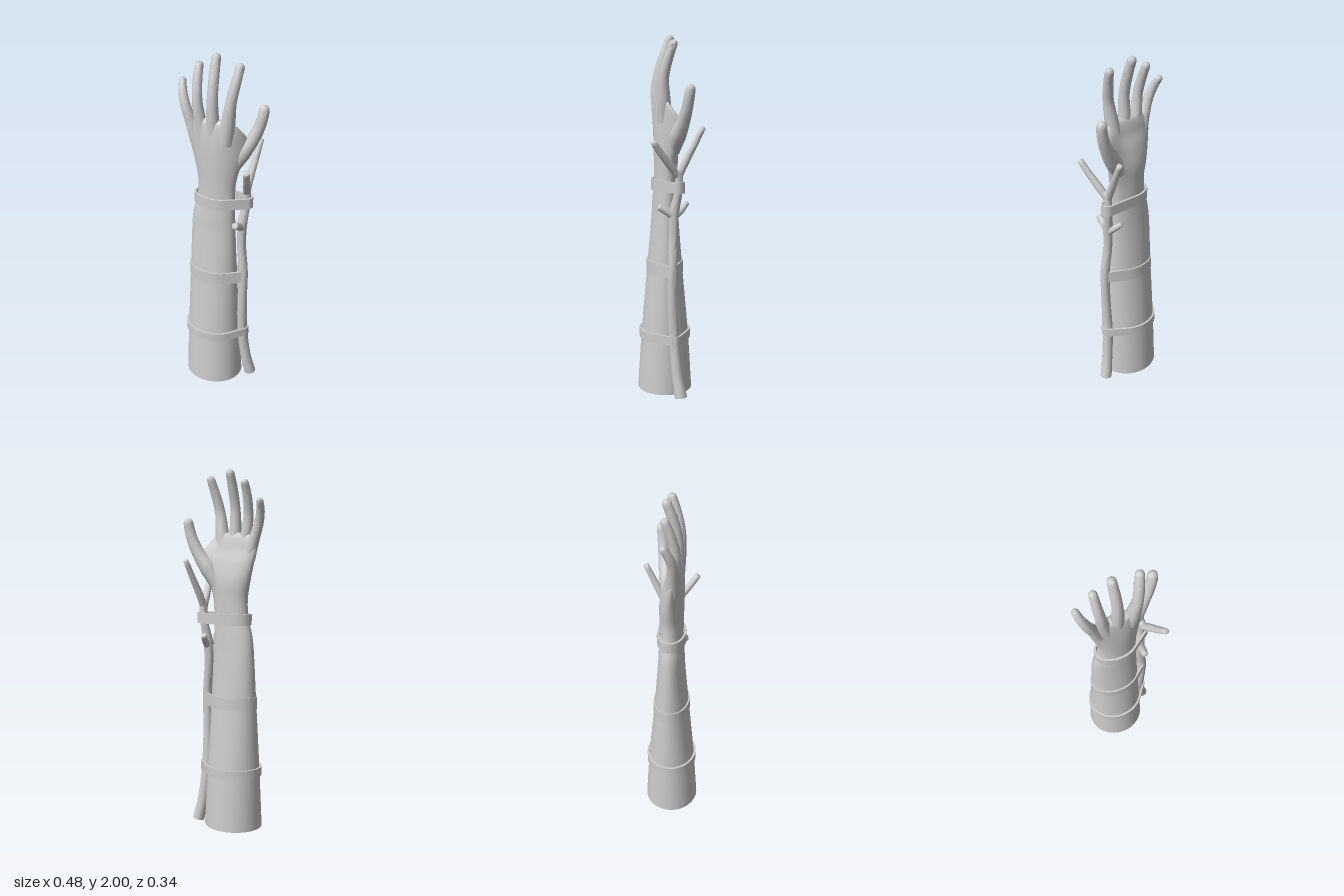
import * as THREE from 'three';
import { toCreasedNormals } from 'three/addons/utils/BufferGeometryUtils.js';

const material = new THREE.MeshStandardMaterial({ color: 0xcccccc, side: THREE.DoubleSide });
const { lerp, clamp } = THREE.MathUtils;

// Skin a list of closed rings (arrays of Vector3 with equal length).
function skin(rings) {
  const n = rings[0].length, index = [];
  for (let i = 0; i < rings.length - 1; i++) {
    for (let j = 0; j < n; j++) {
      const a = i * n + j, b = i * n + (j + 1) % n;
      index.push(a, a + n, b, b, a + n, b + n);
    }
  }
  const geo = new THREE.BufferGeometry().setFromPoints(rings.flat());
  geo.setIndex(index);
  geo.computeVertexNormals();
  return geo;
}

// Smooth tapered tube through [x, y, z, radius] points, with a rounded or blunt tip.
function limb(points, { blunt = false, sides = 16, steps = 28 } = {}) {
  const last = points.length - 1;
  const pos = points.map(p => new THREE.Vector3(p[0], p[1], p[2]));
  const curve = new THREE.CatmullRomCurve3(pos, false, 'centripetal');
  const radius = t => {
    const i = Math.min(Math.floor(t * last), last - 1), f = t * last - i;
    return lerp(points[i][3], points[i + 1][3], f);
  };
  const tip = points[last][3] * (blunt ? 0.25 : 1);
  const t0 = 1 - Math.min(0.9, tip / pos[last].distanceTo(pos[last - 1])) / last;
  const stations = [[0, 0]];
  for (let i = 0; i <= steps; i++) stations.push([t0 * i / steps, 1]);
  for (let i = 1; i <= 6; i++) {
    const a = i / 6 * Math.PI / 2;
    stations.push([lerp(t0, 1, Math.sin(a)), Math.cos(a)]);
  }
  const rings = stations.map(([t, scale]) => {
    const c = curve.getPoint(t), T = curve.getTangent(t), r = radius(t) * scale;
    const N = new THREE.Vector3(1, 0, 0).addScaledVector(T, -T.x).normalize();
    const B = N.clone().cross(T);
    return Array.from({ length: sides }, (_, j) => {
      const a = j / sides * Math.PI * 2;
      return c.clone().addScaledVector(N, r * Math.cos(a)).addScaledVector(B, r * Math.sin(a));
    });
  });
  return toCreasedNormals(skin(rings), 1.0);
}

// Forearm and palm cross-sections: y, xMin, xMax, zMin, zMax, bend toward the thumb
const SECTIONS = [
  [0.01, -0.2, 0.136, -0.135, 0.172, 0],
  [0.33, -0.19, 0.122, -0.115, 0.15, 0],
  [0.72, -0.176, 0.106, -0.08, 0.115, 0],
  [1.0, -0.166, 0.096, -0.058, 0.09, 0],
  [1.1, -0.155, 0.093, -0.053, 0.085, 0],
  [1.2, -0.13, 0.09, -0.05, 0.078, 0],
  [1.3, -0.125, 0.094, -0.05, 0.078, 0.5],
  [1.4, -0.143, 0.114, -0.05, 0.08, 1.8],
  [1.5, -0.163, 0.138, -0.03, 0.08, 3],
  [1.57, -0.174, 0.138, -0.008, 0.077, 3],
  [1.62, -0.168, 0.115, 0.002, 0.072, 2],
  [1.65, -0.145, 0.09, 0.012, 0.064, 1],
  [1.662, -0.1, 0.05, 0.026, 0.05, 0],
];

// Section at a fractional row, by Catmull-Rom blending
function sectionAt(s) {
  const i = Math.min(Math.floor(s), SECTIONS.length - 2), f = s - i;
  const row = k => SECTIONS[clamp(k, 0, SECTIONS.length - 1)];
  return row(i).map((b, k) => {
    const c = row(i + 1)[k], a = row(i - 1)[k], d = row(i + 2)[k];
    const span = (m, n) => Math.max(1e-4, row(n)[0] - row(m)[0]);
    const h = span(i, i + 1);
    if (k === 0) return lerp(b, c, f);
    const m0 = (c - a) / span(i - 1, i + 1) * h, m1 = (d - b) / span(i, i + 2) * h;
    const f2 = f * f, f3 = f2 * f;
    return (2 * f3 - 3 * f2 + 1) * b + (f3 - 2 * f2 + f) * m0 + (3 * f2 - 2 * f3) * c + (f3 - f2) * m1;
  });
}

function armGeometry() {
  const sides = 48, sub = 6, rings = [];
  for (let k = 0; k <= (SECTIONS.length - 1) * sub; k++) {
    const [y, x0, x1, z0, z1, bend] = sectionAt(k / sub);
    rings.push(Array.from({ length: sides }, (_, j) => {
      const a = j / sides * Math.PI * 2;
      const x = (x0 + x1) / 2 + (x1 - x0) / 2 * Math.cos(a);
      const z = (z0 + z1) / 2 + (z1 - z0) / 2 * Math.sin(a);
      return new THREE.Vector3(x, y, z - bend * Math.max(0, x) ** 2);
    }));
  }
  rings.push(rings[0].map(() => new THREE.Vector3(-0.025, 1.664, 0.038)));
  return skin(rings);
}

// Strap: outline drawn tight around the arm ellipse and the branch circle
function strapGeometry(y0, y1, arm, rod, grow) {
  const outline = offset => Array.from({ length: 72 }, (_, i) => {
    const a = i / 72 * Math.PI * 2, nx = Math.cos(a), nz = Math.sin(a);
    const len = Math.hypot(arm.rx * nx, arm.rz * nz);
    const e = [arm.x + arm.rx ** 2 * nx / len, arm.z + arm.rz ** 2 * nz / len];
    const c = [rod.x + rod.r * nx, rod.z + rod.r * nz];
    const far = e[0] * nx + e[1] * nz > c[0] * nx + c[1] * nz ? e : c;
    return new THREE.Vector2(far[0] + offset * nx, -(far[1] + offset * nz));
  });
  const shape = new THREE.Shape(outline(grow));
  shape.holes.push(new THREE.Path(outline(grow - 0.012)));
  const geo = new THREE.ExtrudeGeometry(shape, { depth: y1 - y0, bevelEnabled: false });
  geo.rotateX(-Math.PI / 2).translate(0, y0, 0);
  return toCreasedNormals(geo, 0.7);
}

export function createModel() {
  const model = new THREE.Group();
  const add = (name, geo, parent = model) => {
    const mesh = new THREE.Mesh(geo, material);
    mesh.name = name;
    parent.add(mesh);
  };
  const group = name => {
    const g = new THREE.Group();
    g.name = name;
    model.add(g);
    return g;
  };

  add('forearmAndPalm', armGeometry());

  // Fingers and thumb
  const fingers = group('fingers');
  const digits = {
    littleFinger: [[-0.125, 1.52, 0.035, 0.035], [-0.152, 1.62, 0.042, 0.031], [-0.182, 1.71, 0.046, 0.027],
      [-0.206, 1.78, 0.03, 0.023], [-0.224, 1.845, -0.004, 0.018]],
    ringFinger: [[-0.08, 1.54, 0.038, 0.036], [-0.1, 1.65, 0.044, 0.032], [-0.113, 1.76, 0.046, 0.027],
      [-0.122, 1.86, 0.022, 0.025], [-0.126, 1.945, -0.012, 0.021]],
    middleFinger: [[-0.022, 1.54, 0.038, 0.037], [-0.024, 1.66, 0.045, 0.034], [-0.024, 1.79, 0.044, 0.028],
      [-0.027, 1.9, 0.018, 0.027], [-0.031, 2.0, -0.018, 0.023]],
    indexFinger: [[0.045, 1.54, 0.03, 0.043], [0.063, 1.65, 0.038, 0.038], [0.08, 1.77, 0.041, 0.029],
      [0.097, 1.88, 0.017, 0.026], [0.11, 1.97, -0.014, 0.022]],
    thumb: [[0.06, 1.38, -0.01, 0.04], [0.112, 1.47, -0.032, 0.046], [0.158, 1.545, -0.052, 0.036],
      [0.191, 1.62, -0.066, 0.031], [0.208, 1.69, -0.075, 0.029], [0.212, 1.742, -0.083, 0.025]],
  };
  for (const [name, points] of Object.entries(digits)) add(name, limb(points), fingers);

  // Forked branch lying along the arm
  const branch = group('branch');
  add('branchStem', limb([[0.182, 0.01, -0.038, 0.034], [0.16, 0.13, -0.022, 0.031], [0.142, 0.32, -0.008, 0.03],
    [0.143, 0.55, 0.004, 0.027], [0.146, 0.75, 0.003, 0.026], [0.13, 0.92, -0.003, 0.025],
    [0.13, 1.05, -0.008, 0.027], [0.142, 1.18, -0.03, 0.022], [0.146, 1.3, -0.03, 0.022]], { steps: 64 }), branch);
  const twigs = {
    frontFork: [[0.144, 1.25, -0.025, 0.02], [0.166, 1.31, 0.02, 0.021], [0.19, 1.375, 0.072, 0.019], [0.213, 1.445, 0.122, 0.016]],
    backFork: [[0.144, 1.25, -0.03, 0.02], [0.146, 1.32, -0.062, 0.021], [0.154, 1.41, -0.108, 0.018], [0.162, 1.515, -0.16, 0.015]],
    frontStub: [[0.13, 1.03, -0.005, 0.022], [0.128, 1.06, 0.035, 0.021], [0.126, 1.085, 0.08, 0.018]],
    backStub: [[0.13, 1.03, -0.01, 0.022], [0.118, 1.06, -0.048, 0.018], [0.095, 1.1, -0.086, 0.015]],
  };
  for (const [name, points] of Object.entries(twigs)) add(name, limb(points, { blunt: true, sides: 12, steps: 12 }), branch);

  // Three straps binding the branch to the arm
  add('lowerStrap', strapGeometry(0.31, 0.36, { x: -0.034, z: 0.018, rx: 0.157, rz: 0.134 }, { x: 0.142, z: -0.008, r: 0.026 }, 0.01));
  add('middleStrap', strapGeometry(0.69, 0.76, { x: -0.035, z: 0.018, rx: 0.141, rz: 0.099 }, { x: 0.144, z: 0.003, r: 0.019 }, 0.004));
  add('upperStrap', strapGeometry(1.16, 1.22, { x: -0.024, z: 0.016, rx: 0.112, rz: 0.068 }, { x: 0.144, z: -0.028, r: 0.025 }, 0.011));

  return model;
}
